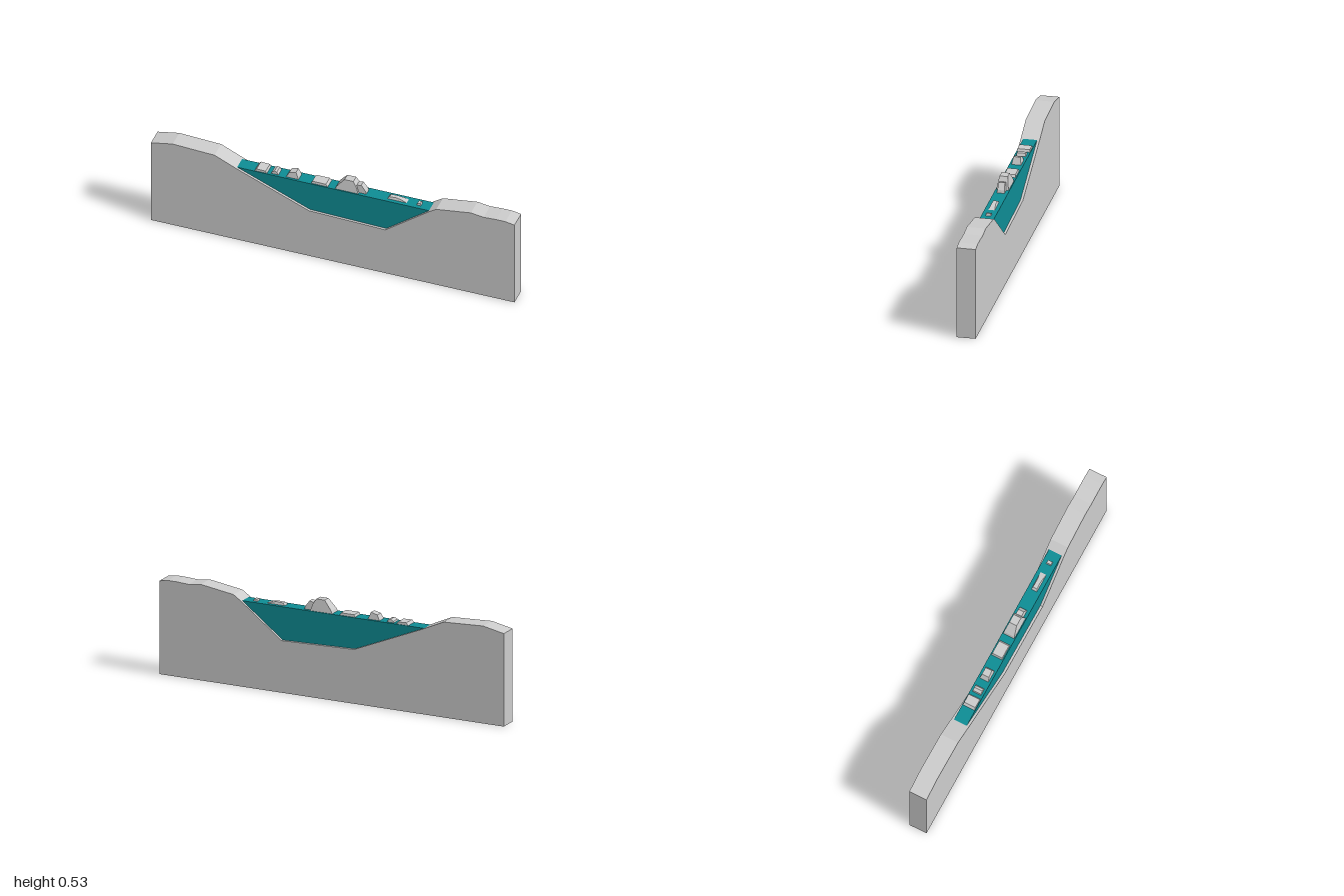
import * as THREE from 'three';

const WATER_Y = 0.46;

// Extrudes an x-y profile to a flat-shaded slab centred on z = 0
function slab(name, points, halfDepth, color) {
  const shape = new THREE.Shape(points.map(([x, y]) => new THREE.Vector2(x, y)));
  const geometry = new THREE.ExtrudeGeometry(shape, { depth: halfDepth * 2, bevelEnabled: false });
  geometry.translate(0, 0, -halfDepth);
  const mesh = new THREE.Mesh(geometry, new THREE.MeshStandardMaterial({ color, flatShading: true }));
  mesh.name = name;
  return mesh;
}

// A rock is a slab whose depth narrows towards its top
function rock(points, halfDepth, taper) {
  const mesh = slab('rock', points, halfDepth, 0xcccccc);
  const top = Math.max(...points.map((p) => p[1]));
  const pos = mesh.geometry.attributes.position;
  for (let i = 0; i < pos.count; i++) {
    const t = Math.max(0, (pos.getY(i) - WATER_Y) / (top - WATER_Y));
    pos.setZ(i, pos.getZ(i) * (1 - t * (1 - taper)));
  }
  mesh.geometry.computeVertexNormals();
  return mesh;
}

export function createModel() {
  const model = new THREE.Group();
  model.name = 'pondSection';

  // Ground with a basin cut into its upper edge
  const basin = [[-0.53, 0.46], [-0.13, 0.293], [0.29, 0.281], [0.525, 0.46]];
  model.add(slab('ground', [
    [-1, 0], [1, 0], [1, 0.503], [0.95, 0.512], [0.9, 0.512], [0.83, 0.508], [0.76, 0.518],
    [0.57, 0.49], ...basin.slice().reverse(),
    [-0.65, 0.515], [-0.74, 0.519], [-0.88, 0.526], [-1, 0.502],
  ], 0.05, 0xcccccc));

  // Water filling the basin, slightly thinner than the ground
  model.add(slab('water', basin, 0.037, 0x0e8c94));

  // Rocks breaking the surface: profile, half depth, top depth ratio
  const rocks = new THREE.Group();
  rocks.name = 'rocks';
  const list = [
    [[[-0.44, 0.455], [-0.365, 0.455], [-0.375, 0.472], [-0.425, 0.474]], 0.034, 0.95],
    [[[-0.35, 0.455], [-0.305, 0.455], [-0.317, 0.475], [-0.33, 0.478], [-0.345, 0.468]], 0.025, 0.9],
    [[[-0.268, 0.455], [-0.195, 0.455], [-0.213, 0.498], [-0.25, 0.488]], 0.026, 0.7],
    [[[-0.127, 0.455], [-0.03, 0.455], [-0.045, 0.473], [-0.12, 0.473]], 0.032, 0.9],
    [[[0.005, 0.455], [0.135, 0.455], [0.122, 0.495], [0.103, 0.525], [0.055, 0.525], [0.012, 0.474]], 0.033, 0.65],
    [[[0.1, 0.455], [0.175, 0.455], [0.17, 0.475], [0.145, 0.508], [0.12, 0.502]], 0.02, 0.8],
    [[[0.285, 0.455], [0.41, 0.455], [0.37, 0.468], [0.34, 0.474], [0.3, 0.472]], 0.018, 0.6],
    [[[0.447, 0.455], [0.473, 0.455], [0.468, 0.472], [0.452, 0.47]], 0.015, 0.8],
  ];
  for (const [points, halfDepth, taper] of list) rocks.add(rock(points, halfDepth, taper));
  model.add(rocks);

  return model;
}
